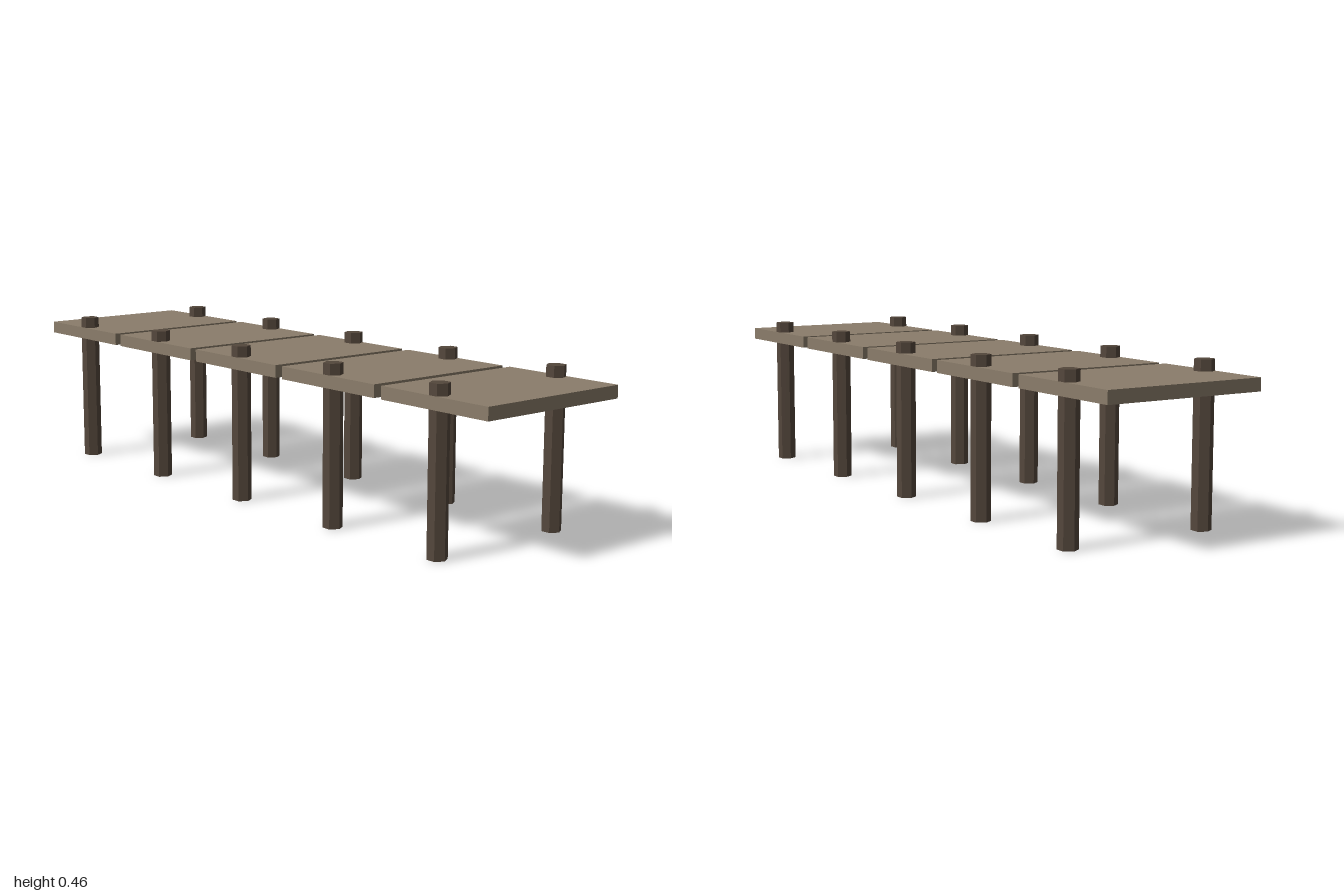
import * as THREE from 'three';

const SECTIONS = 5;
const PITCH = 0.4055;
const DECK = { width: 0.482, height: 0.036, length: 0.378, y: 0.406 };
const POST = { radius: 0.028, height: 0.456, x: 0.2165 };

export function createModel() {
  const pier = new THREE.Group();
  pier.name = 'pier';

  const deckMaterial = new THREE.MeshStandardMaterial({ color: 0x8b7d6b, flatShading: true });
  const postMaterial = new THREE.MeshStandardMaterial({ color: 0x54473c, flatShading: true });
  const deckGeometry = new THREE.BoxGeometry(DECK.width, DECK.height, DECK.length);
  // Hexagonal posts with a corner facing front and back
  const postGeometry = new THREE.CylinderGeometry(POST.radius, POST.radius, POST.height, 6);

  for (let i = 0; i < SECTIONS; i++) {
    const section = new THREE.Group();
    section.name = `section${i + 1}`;
    section.position.z = (i - (SECTIONS - 1) / 2) * PITCH;

    // Deck slab
    const deck = new THREE.Mesh(deckGeometry, deckMaterial);
    deck.name = 'deck';
    deck.position.y = DECK.y;
    section.add(deck);

    // Pair of posts that pass through the slab
    for (const side of [-1, 1]) {
      const post = new THREE.Mesh(postGeometry, postMaterial);
      post.name = side > 0 ? 'leftPost' : 'rightPost';
      post.position.set(side * POST.x, POST.height / 2, 0);
      section.add(post);
    }
    pier.add(section);
  }
  return pier;
}
